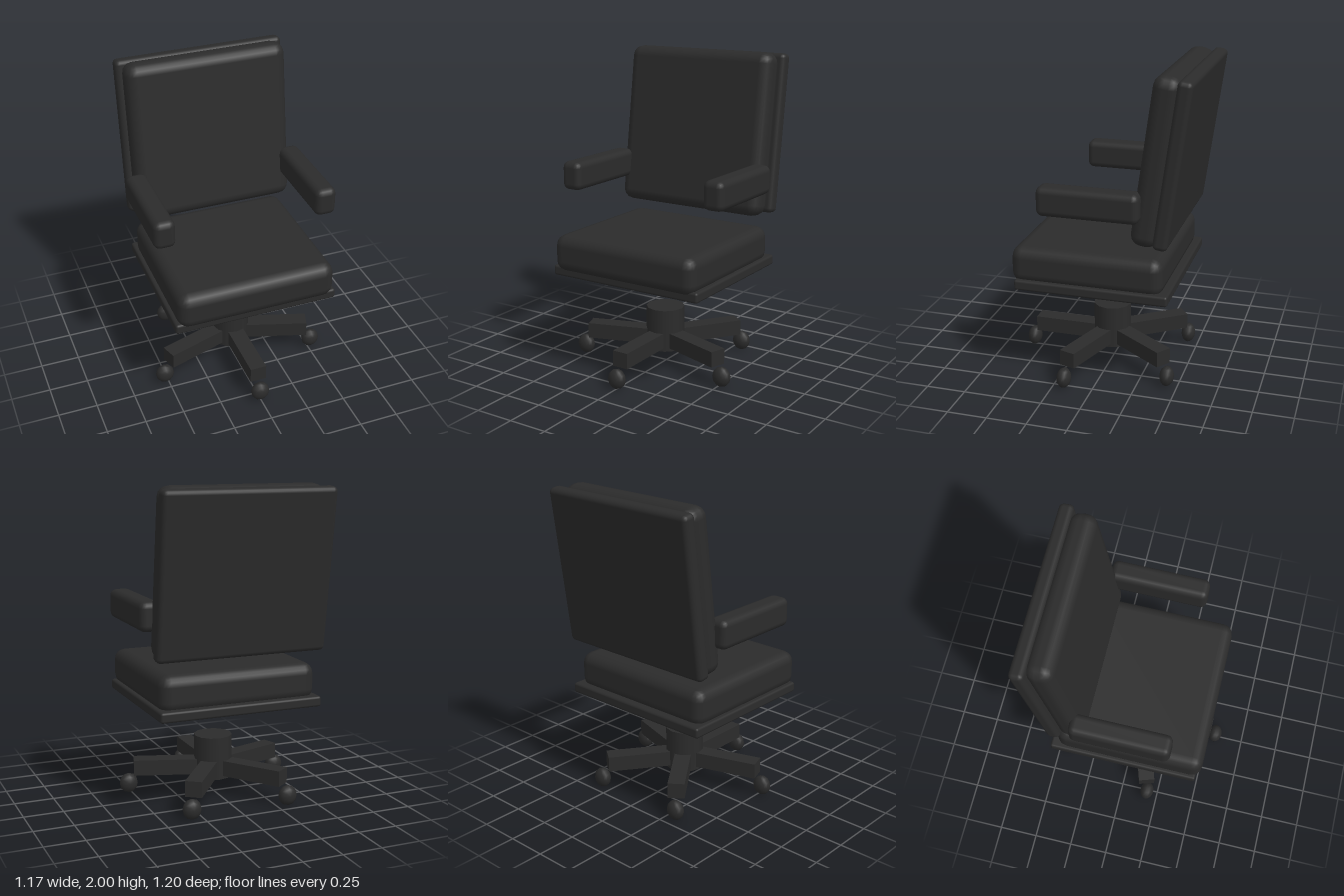
import * as THREE from 'three';
import { RoundedBoxGeometry } from 'three/addons/geometries/RoundedBoxGeometry.js';

const charcoal = new THREE.MeshStandardMaterial({ color: 0x2b2b2b });
charcoal.name = 'charcoal';

function part(parent, name, geometry, x, y, z) {
  const mesh = new THREE.Mesh(geometry, charcoal);
  mesh.name = name;
  mesh.position.set(x, y, z);
  parent.add(mesh);
  return mesh;
}

const padded = (w, h, d, r) => new RoundedBoxGeometry(w, h, d, 2, r);

export function createModel() {
  const chair = new THREE.Group();
  chair.name = 'officeChair';

  // Seat: thick cushion sunk slightly into a thin plate
  part(chair, 'seatCushion', padded(1.02, 0.235, 0.95, 0.07), 0, 0.778, 0.045);
  part(chair, 'seatPlate', padded(1.054, 0.065, 0.96, 0.015), 0, 0.66, 0.01);

  // Backrest: panel and front pad, leaning back together
  const back = new THREE.Group();
  back.name = 'backrest';
  back.position.set(0, 1.484, -0.487);
  back.rotation.x = -0.136;
  chair.add(back);
  part(back, 'backPanel', padded(1.094, 1.01, 0.09, 0.03), 0, 0, 0);
  part(back, 'backPad', padded(1.04, 1.03, 0.17, 0.07), 0, -0.012, 0.11);

  // Armrests
  for (const side of [-1, 1]) {
    part(chair, side > 0 ? 'leftArmrest' : 'rightArmrest',
      padded(0.136, 0.182, 0.625, 0.04), side * 0.518, 1.23, 0.008);
  }

  // Five-legged base with a central hub
  const base = new THREE.Group();
  base.name = 'base';
  base.position.z = 0.01;
  chair.add(base);
  part(base, 'hub', new THREE.CylinderGeometry(0.123, 0.123, 0.275, 12), 0, 0.247, 0);

  const legGeometry = new THREE.BoxGeometry(0.106, 0.1, 0.512);
  legGeometry.translate(0, 0, 0.256);
  const wheelGeometry = new THREE.SphereGeometry(1, 12, 8);
  wheelGeometry.rotateX(Math.PI / 2);
  wheelGeometry.scale(0.06, 0.065, 0.045);
  for (let i = 0; i < 5; i++) {
    const a = (i * Math.PI * 2) / 5;
    part(base, 'leg', legGeometry, 0, 0.18, 0).rotation.y = a;
    part(base, 'wheel', wheelGeometry, Math.sin(a) * 0.546, 0.068, Math.cos(a) * 0.546);
  }
  return chair;
}
